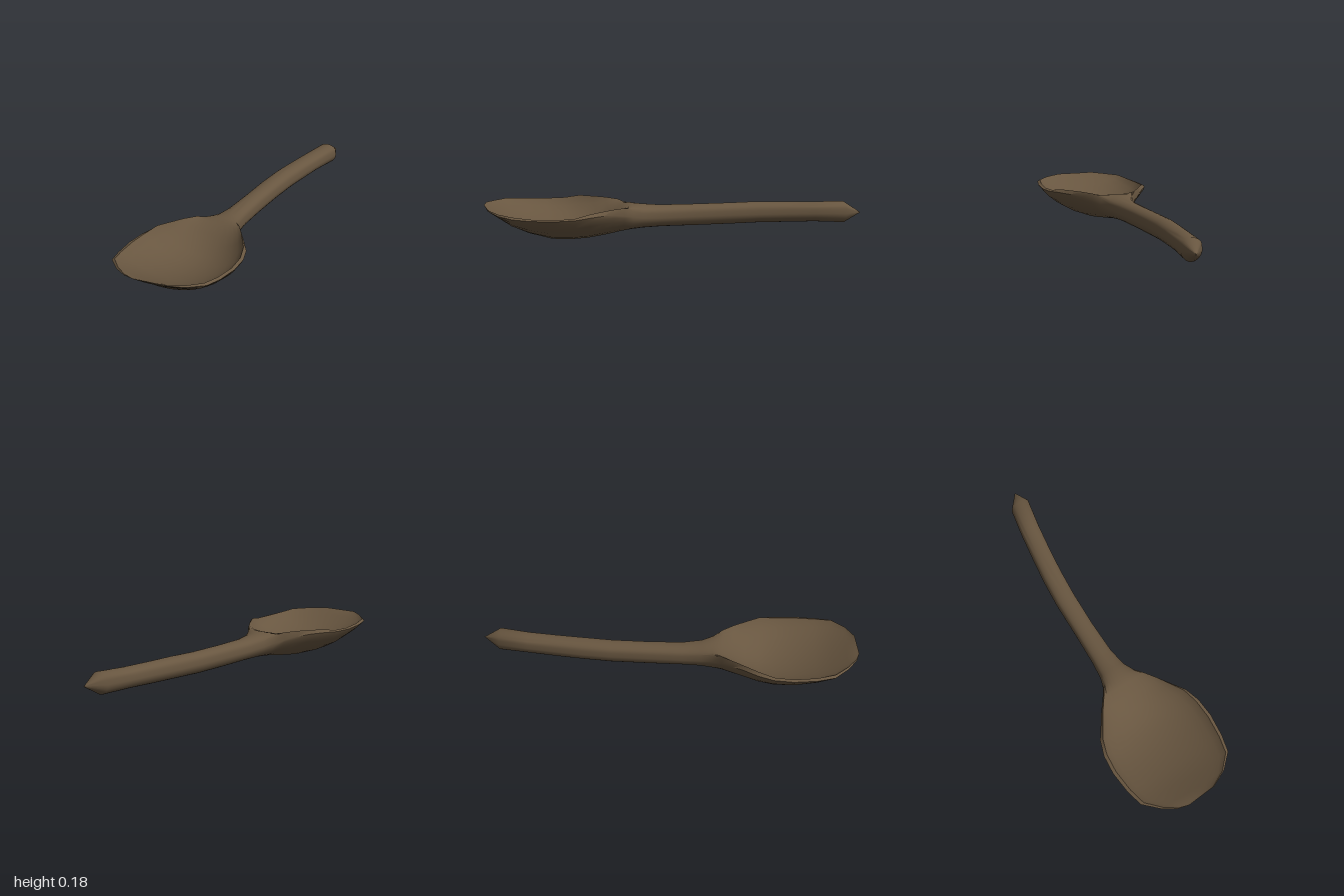
import * as THREE from 'three';
import { toCreasedNormals } from 'three/addons/utils/BufferGeometryUtils.js';

// Cross-sections from bowl tip to handle end:
// z, centre x, half width, widest-point y, underside y, lip y, top (or hollow) y
const SECTIONS = [
  [0.985, -0.01, 0.11, 0.178, 0.168, 0.183, 0.176],
  [0.94, 0, 0.19, 0.170, 0.140, 0.178, 0.154],
  [0.87, 0, 0.262, 0.165, 0.088, 0.174, 0.119],
  [0.78, 0, 0.284, 0.158, 0.045, 0.164, 0.085],
  [0.66, 0, 0.296, 0.154, 0.008, 0.158, 0.058],
  [0.56, 0, 0.288, 0.154, 0.001, 0.160, 0.050],
  [0.48, 0, 0.262, 0.158, 0.002, 0.174, 0.057],
  [0.41, 0, 0.215, 0.154, 0.009, 0.175, 0.083],
  [0.35, 0, 0.175, 0.146, 0.017, 0.175, 0.119],
  [0.29, 0, 0.130, 0.130, 0.027, 0.171, 0.157],
  [0.24, 0, 0.095, 0.115, 0.034, 0.150, 0.170],
  [0.18, -0.002, 0.073, 0.102, 0.038, 0.127, 0.164],
  [0.08, -0.005, 0.060, 0.095, 0.040, 0.118, 0.154],
  [-0.10, -0.005, 0.055, 0.094, 0.038, 0.116, 0.151],
  [-0.30, -0.002, 0.056, 0.094, 0.038, 0.116, 0.150],
  [-0.45, 0.008, 0.056, 0.094, 0.041, 0.116, 0.153],
  [-0.60, 0.025, 0.055, 0.094, 0.041, 0.116, 0.150],
  [-0.75, 0.045, 0.055, 0.093, 0.042, 0.114, 0.148],
  [-0.91, 0.073, 0.055, 0.092, 0.036, 0.115, 0.150],
];
const HALF = 12;

// Closed ring: rounded underside, then a lip and a domed or hollowed top
function ring([z, cx, w, side, bottom, lip, top]) {
  const hollow = top < lip;
  const points = [];
  for (let j = 0; j < HALF; j++) {
    const a = (Math.PI * j) / HALF;
    const y = side - (side - bottom) * Math.sin(a) ** (hollow ? 1.6 : 1.1);
    points.push([cx + w * Math.cos(a), y, z]);
  }
  points.push([cx - w, side, z]);
  for (let j = 0; j <= HALF; j++) {
    const a = (Math.PI * j) / HALF;
    const s = Math.max(0, Math.sin(a));
    const y = lip + (top - lip) * s ** (hollow ? 1.5 : 1);
    points.push([cx - 0.94 * w * Math.cos(a), y, z]);
  }
  return points;
}

// Skin the sections and close both ends with fans to a point
function loft(sections, frontTip, backTip) {
  const rings = sections.map(ring);
  const n = rings[0].length;
  const last = (rings.length - 1) * n;
  const positions = [...rings.flat(), frontTip, backTip].flat();
  const front = rings.length * n;
  const index = [];
  for (let j = 0; j < n; j++) {
    const k = (j + 1) % n;
    for (let i = 0; i < rings.length - 1; i++) {
      const a = i * n + j, b = i * n + k;
      index.push(a, b, a + n, b, b + n, a + n);
    }
    index.push(front, k, j, front + 1, last + j, last + k);
  }
  const geometry = new THREE.BufferGeometry();
  geometry.setAttribute('position', new THREE.Float32BufferAttribute(positions, 3));
  geometry.setIndex(index);
  return toCreasedNormals(geometry, 0.75);
}

export function createModel() {
  const group = new THREE.Group();
  group.name = 'spoon';
  const wood = new THREE.MeshStandardMaterial({ color: 0x685640, side: THREE.DoubleSide });
  wood.name = 'darkWood';

  // Bowl and handle carved from one piece
  const body = new THREE.Mesh(loft(SECTIONS, [-0.06, 0.18, 1], [0.09, 0.09, -1]), wood);
  body.name = 'bowlAndHandle';
  group.add(body);
  return group;
}
